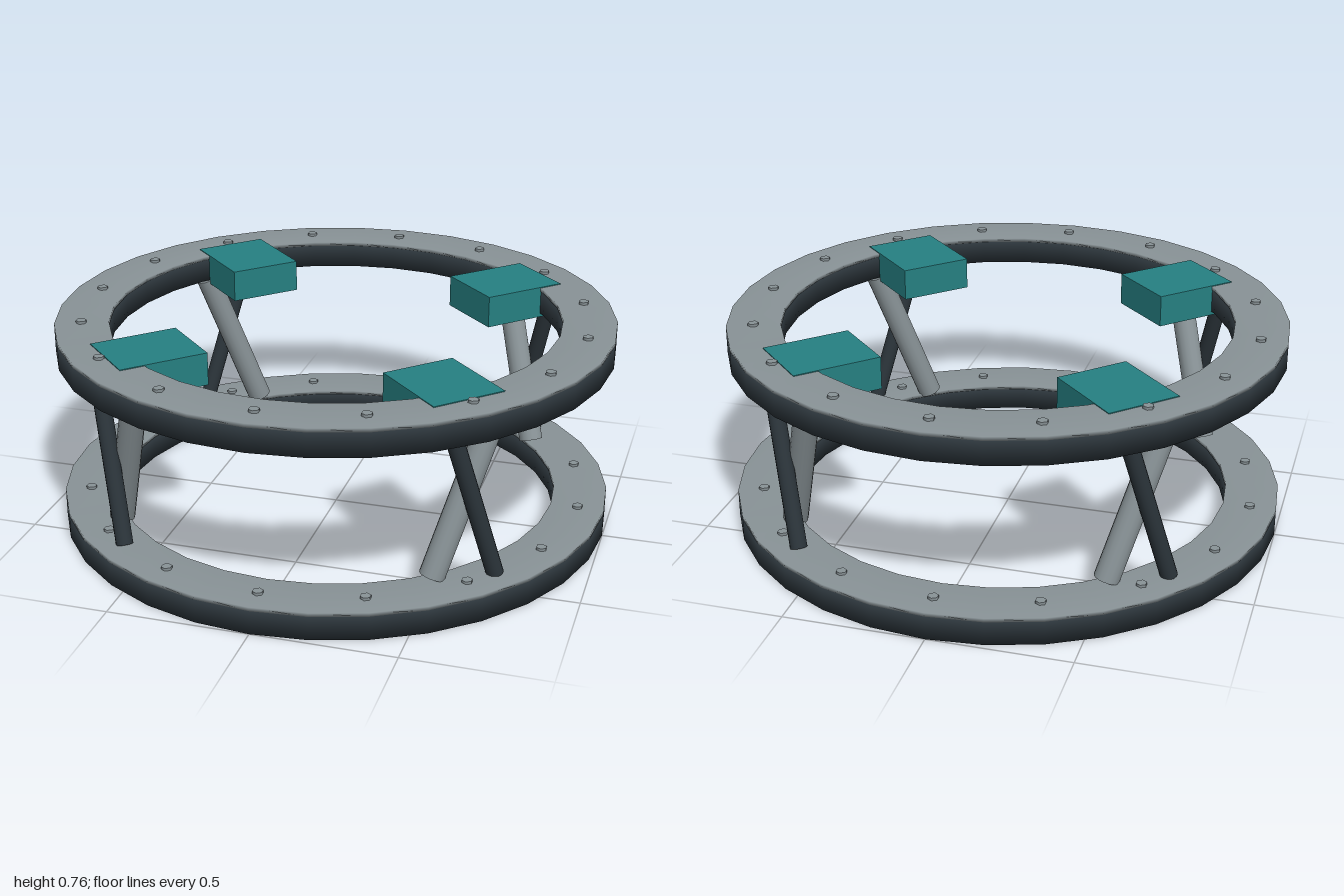
import * as THREE from 'three';

const material = (name, color) => {
  const m = new THREE.MeshStandardMaterial({ color });
  m.name = name;
  return m;
};

// Flat ring turned from a rectangular section, softly shaded at its edges
function ringGeometry(inner, outer, y0, y1) {
  const mid = (inner + outer) / 2;
  const profile = [[mid, y0], [outer, y0], [outer, y1], [inner, y1], [inner, y0], [mid, y0]];
  return new THREE.LatheGeometry(profile.map(([x, y]) => new THREE.Vector2(x, y)), 32);
}

// Round bar between two points
function strut(name, from, to, radius, mat) {
  const a = new THREE.Vector3(...from), b = new THREE.Vector3(...to);
  const dir = b.clone().sub(a);
  const mesh = new THREE.Mesh(new THREE.CylinderGeometry(radius, radius, dir.length(), 16), mat);
  mesh.name = name;
  mesh.position.copy(a).add(b).multiplyScalar(0.5);
  mesh.quaternion.setFromUnitVectors(new THREE.Vector3(0, 1, 0), dir.normalize());
  return mesh;
}

export function createModel() {
  const model = new THREE.Group();
  model.name = 'ringFrame';
  const steel = material('steel grey', 0x899397);
  const dark = material('dark slate', 0x2b343a);
  const teal = material('teal', 0x268082);

  // Lower and upper rings: dark body, steel cover plate and sixteen hex bolts
  const bodyGeo = ringGeometry(0.81, 1, 0, 0.086);
  const plateGeo = ringGeometry(0.808, 1, 0.086, 0.1);
  const boltGeo = new THREE.CylinderGeometry(0.019, 0.019, 0.02, 6);
  for (const [name, y] of [['lowerRing', 0], ['upperRing', 0.65]]) {
    const ring = new THREE.Group();
    ring.name = name;
    ring.position.y = y;
    const body = new THREE.Mesh(bodyGeo, dark);
    body.name = 'ringBody';
    const plate = new THREE.Mesh(plateGeo, steel);
    plate.name = 'coverPlate';
    ring.add(body, plate);
    for (let i = 0; i < 16; i++) {
      const a = (i / 16) * Math.PI * 2;
      const bolt = new THREE.Mesh(boltGeo, steel);
      bolt.name = 'bolt';
      bolt.position.set(Math.sin(a) * 0.905, 0.1, Math.cos(a) * 0.905);
      ring.add(bolt);
    }
    model.add(ring);
  }

  // Four stations, each with a teal block and a crossed pair of struts
  for (let i = 0; i < 4; i++) {
    const station = new THREE.Group();
    station.name = 'supportStation';
    station.rotation.y = (i * Math.PI) / 2;
    const block = new THREE.Mesh(new THREE.BoxGeometry(0.268, 0.117, 0.317), teal);
    block.name = 'mountBlock';
    block.position.set(0.513, 0.6945, 0.513);
    block.rotation.y = Math.PI / 4;
    station.add(
      block,
      strut('thickStrut', [0.52, 0.105, 0.64], [0.68, 0.65, 0.5], 0.045, steel),
      strut('thinStrut', [0.715, 0.1, 0.55], [0.58, 0.66, 0.675], 0.03, dark),
    );
    model.add(station);
  }
  return model;
}
